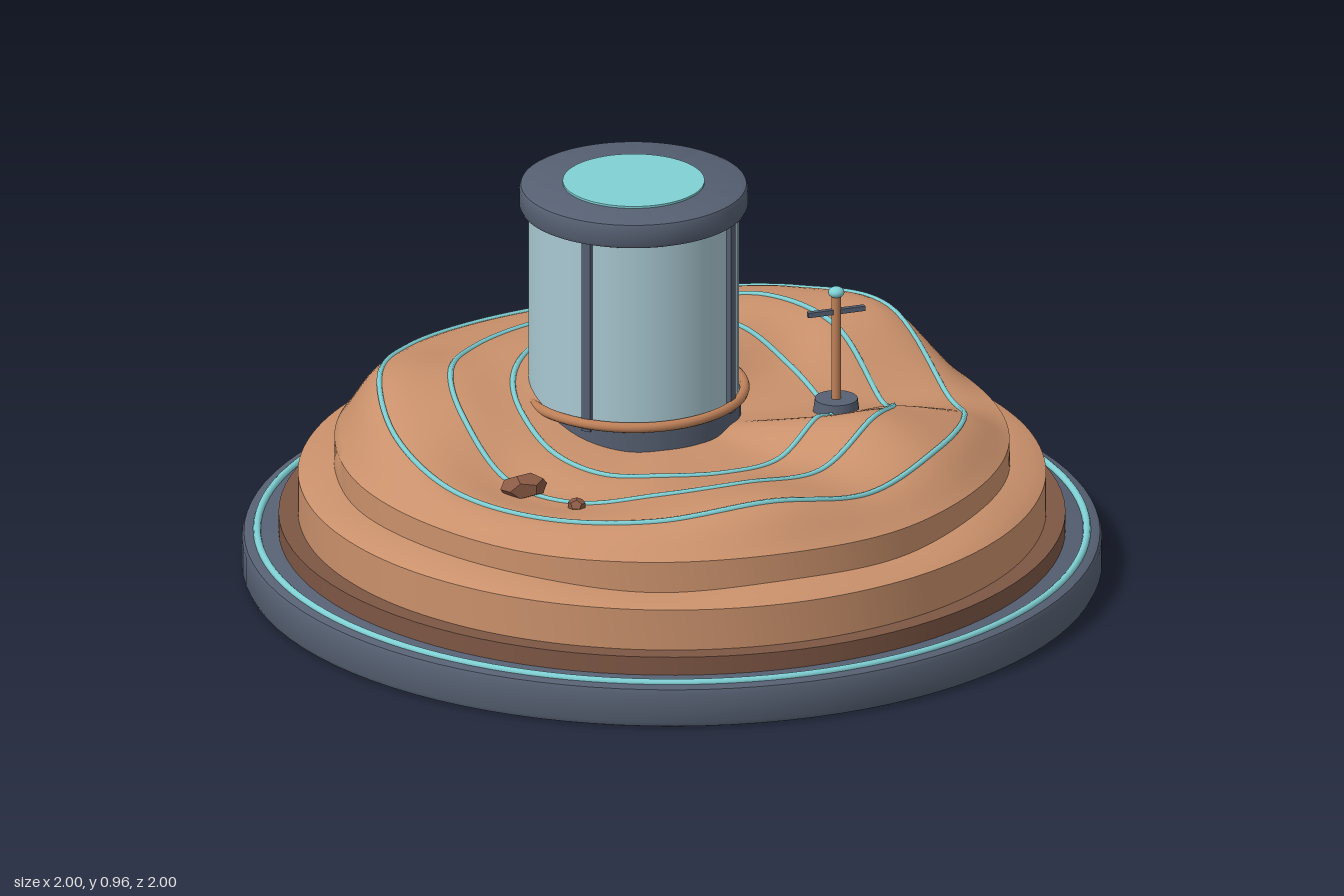
import * as THREE from 'three';
import { toCreasedNormals } from 'three/addons/utils/BufferGeometryUtils.js';

const mat = (name, color) => {
  const m = new THREE.MeshStandardMaterial({ color });
  m.name = name;
  return m;
};

export function createModel() {
  const slate = mat('slate', 0x566072);
  const teal = mat('teal', 0x7fd0d4);
  const clay = mat('clay', 0xc9906b);
  const brown = mat('brown', 0x7d5644);
  const glass = mat('glass', 0xa9c8d2);
  const copper = mat('copper', 0xbd8058);
  const rock = mat('rock', 0x8a5a44);

  const model = new THREE.Group();
  const add = (name, geo, material, x = 0, y = 0, z = 0, parent = model) => {
    const m = new THREE.Mesh(geo, material);
    m.name = name;
    m.position.set(x, y, z);
    parent.add(m);
    return m;
  };
  const cyl = (r, h, n = 64) => new THREE.CylinderGeometry(r, r, h, n);
  // Disc with softly bevelled rims, standing on y = 0
  const bevelDisc = (r, h, b) => toCreasedNormals(new THREE.LatheGeometry(
    [[0, 0], [r - b, 0], [r - b * 0.3, b * 0.3], [r, b], [r, h - b], [r - b * 0.3, h - b * 0.3], [r - b, h], [0, h]]
      .map(([x, y]) => new THREE.Vector2(x, y)), 96), 0.5);
  const hoop = (r, t) => new THREE.TorusGeometry(r, t, 10, 128).rotateX(Math.PI / 2);

  // Display plinth
  add('plinth', bevelDisc(1, 0.1, 0.015), slate);
  add('plinthRing', hoop(0.965, 0.009), teal, 0, 0.101, 0);
  add('plinthStep', cyl(0.915, 0.05, 96), brown, 0, 0.12, 0);

  // Terrain: heights around each ring, from +x towards +z
  const rings = [
    [0.12, [.38, .38, .38, .375, .375, .375, .38, .40, .43, .45, .46, .47, .47, .46, .44, .40]],
    [0.37, [.37, .39, .44, .385, .38, .38, .37, .39, .44, .47, .485, .485, .475, .48, .475, .41]],
    [0.515, [.355, .42, .465, .40, .41, .39, .35, .36, .45, .485, .465, .455, .455, .47, .50, .47]],
    [0.68, [.345, .395, .415, .39, .425, .39, .37, .375, .42, .47, .44, .415, .41, .43, .46, .475]],
    [0.785, [.325, .33, .335, .33, .335, .33, .325, .33, .33, .335, .33, .33, .33, .33, .335, .335]],
    [0.786, [.26, .268, .276, .262, .268, .255, .268, .272, .265, .272, .26, .266, .272, .262, .27, .275]],
    [0.84, [.255, .26, .265, .257, .26, .253, .26, .262, .258, .262, .256, .26, .262, .257, .26, .263]],
    [0.87, Array(16).fill(0.245)],
    [0.87, Array(16).fill(0.14)],
  ].map(([r, hs]) => new THREE.CatmullRomCurve3(hs.map((h, i) => {
    const a = i / hs.length * Math.PI * 2;
    return new THREE.Vector3(r * Math.cos(a), h, r * Math.sin(a));
  }), true, 'catmullrom', 0.5));

  const around = 160, inward = 32;
  const positions = [], indices = [];
  for (let u = 0; u < around; u++) {
    const pts = rings.map(c => c.getPoint(u / around));
    const dome = new THREE.CatmullRomCurve3(pts.slice(0, 5), false, 'catmullrom', 0.5);
    const profile = [...dome.getPoints(inward), ...pts.slice(5)];
    profile.forEach(p => positions.push(p.x, p.y, p.z));
    const n = profile.length;
    for (let v = 0; v < n - 1; v++) {
      const a = u * n + v, b = ((u + 1) % around) * n + v;
      indices.push(a, b, a + 1, b, b + 1, a + 1);
    }
  }
  const land = new THREE.BufferGeometry();
  land.setAttribute('position', new THREE.Float32BufferAttribute(positions, 3));
  land.setIndex(indices);
  add('terrain', toCreasedNormals(land, 0.7), clay);

  // Contour lines lying on the terrain
  for (const i of [1, 2, 3]) {
    add('contourLine', new THREE.TubeGeometry(rings[i], 200, 0.007, 6, true), teal);
  }

  // Glass tower
  const tower = new THREE.Group();
  tower.name = 'tower';
  tower.position.set(-0.07, 0, -0.07);
  model.add(tower);
  add('towerFoot', cyl(0.25, 0.1), slate, 0, 0.385, 0, tower);
  add('towerGlass', cyl(0.245, 0.48), glass, 0, 0.665, 0, tower);
  add('towerCap', bevelDisc(0.266, 0.064, 0.012), slate, 0, 0.888, 0, tower);
  add('skylight', cyl(0.165, 0.008), teal, 0, 0.953, 0, tower);
  add('footRail', hoop(0.258, 0.012), copper, 0, 0.44, 0, tower);
  for (let i = 0; i < 4; i++) {
    const a = Math.PI / 4 + i * Math.PI / 2;
    const bar = add('mullion', new THREE.BoxGeometry(0.022, 0.48, 0.022), slate,
      0.246 * Math.cos(a), 0.66, 0.246 * Math.sin(a), tower);
    bar.rotation.y = -a;
  }

  // Instrument mast
  const mast = new THREE.Group();
  mast.name = 'mast';
  mast.position.set(0.38, 0, 0.07);
  model.add(mast);
  add('mastFoot', new THREE.CylinderGeometry(0.05, 0.055, 0.04, 24), slate, 0, 0.385, 0, mast);
  add('mastPole', cyl(0.011, 0.28, 16), copper, 0, 0.52, 0, mast);
  add('mastCrossbar', new THREE.BoxGeometry(0.14, 0.012, 0.012), slate, 0, 0.622, 0, mast);
  add('mastLamp', new THREE.SphereGeometry(0.019, 16, 12).scale(1, 0.7, 1), teal, 0, 0.67, 0, mast);

  // Loose rocks
  const stone = (x, y, z, sx, sy, sz, turn) => {
    const geo = new THREE.DodecahedronGeometry(1).rotateY(turn).scale(sx, sy, sz);
    add('looseRock', geo, rock, x, y, z);
  };
  stone(-0.46, 0.37, 0.27, 0.058, 0.032, 0.036, 0.4);
  stone(-0.375, 0.36, 0.4, 0.022, 0.018, 0.025, 1.1);

  return model;
}
